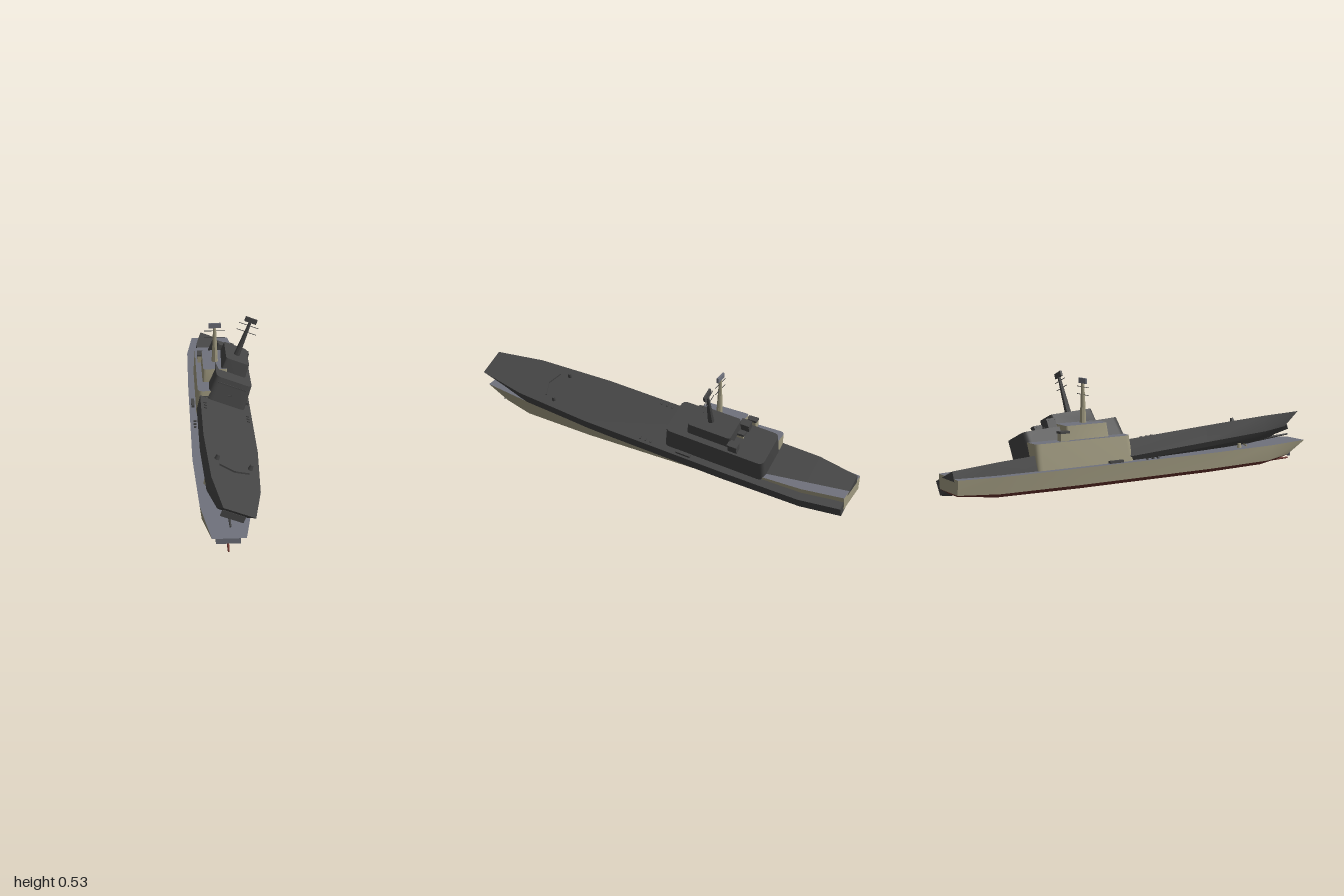
import * as THREE from 'three';
import { toCreasedNormals } from 'three/addons/utils/BufferGeometryUtils.js';

const mat = (name, color) => {
  const m = new THREE.MeshStandardMaterial({ color, side: THREE.DoubleSide });
  m.name = name;
  return m;
};

const DECK = 0.113;

// Hull stations, stern to bow: deck edge, waterline, bilge, keel edge as [halfWidth, y, z]
const stations = [
  [[0.1, DECK, -1], [0.092, 0.045, -1], [0.07, 0.035, -0.99], [0.03, 0.03, -0.98]],
  [[0.13, DECK, -0.8], [0.115, 0.034, -0.8], [0.09, 0.016, -0.8], [0.04, 0.006, -0.8]],
  [[0.135, DECK, -0.4], [0.122, 0.032, -0.4], [0.097, 0.012, -0.4], [0.04, 0.001, -0.4]],
  [[0.135, DECK, 0.35], [0.122, 0.032, 0.35], [0.097, 0.012, 0.35], [0.04, 0.001, 0.35]],
  [[0.115, DECK, 0.75], [0.106, 0.034, 0.73], [0.08, 0.014, 0.7], [0.035, 0.003, 0.68]],
  [[0.073, DECK, 1], [0.07, 0.047, 0.89], [0.05, 0.03, 0.86], [0.025, 0.013, 0.82]],
];
const rings = stations.map((s) => [
  ...s,
  ...s.slice().reverse().map(([x, y, z]) => [-x, y, z]),
]);

// Geometry from a list of quads
function quads(list) {
  const pos = [];
  for (const [a, b, c, d] of list) pos.push(...a, ...b, ...c, ...a, ...c, ...d);
  const g = new THREE.BufferGeometry();
  g.setAttribute('position', new THREE.Float32BufferAttribute(pos, 3));
  g.computeVertexNormals();
  return toCreasedNormals(g, 0.4);
}

// Lengthwise strips between neighbouring hull lines
function strips(indices) {
  const out = [];
  for (const j of indices) {
    const k = (j + 1) % 8;
    for (let s = 0; s < rings.length - 1; s++) {
      out.push([rings[s][j], rings[s + 1][j], rings[s + 1][k], rings[s][k]]);
    }
  }
  return out;
}

// Bow and stern faces between level i and the level below it
function ends(i) {
  const bow = rings[rings.length - 1], stern = rings[0];
  return [
    [bow[i], bow[7 - i], bow[6 - i], bow[i + 1]],
    [stern[7 - i], stern[i], stern[i + 1], stern[6 - i]],
  ];
}

// Deckhouse block with rounded corners, walls leaning inward towards the roof
function blockGeometry(hw, z0, z1, height, r, lean) {
  const zc = (z0 + z1) / 2, hl = (z1 - z0) / 2;
  const s = new THREE.Shape();
  s.moveTo(-hw + r, -hl);
  s.lineTo(hw - r, -hl);
  s.quadraticCurveTo(hw, -hl, hw, -hl + r);
  s.lineTo(hw, hl - r);
  s.quadraticCurveTo(hw, hl, hw - r, hl);
  s.lineTo(-hw + r, hl);
  s.quadraticCurveTo(-hw, hl, -hw, hl - r);
  s.lineTo(-hw, -hl + r);
  s.quadraticCurveTo(-hw, -hl, -hw + r, -hl);
  const g = new THREE.ExtrudeGeometry(s, { depth: height, bevelEnabled: false, curveSegments: 5 });
  g.rotateX(-Math.PI / 2);
  const p = g.attributes.position;
  for (let i = 0; i < p.count; i++) {
    const t = p.getY(i) / height, z = p.getZ(i);
    p.setX(i, p.getX(i) * (1 - (lean * t) / hw));
    p.setZ(i, zc + z - (z > 0 ? 2.5 : 0.6) * lean * t);
  }
  g.computeVertexNormals();
  return toCreasedNormals(g, 0.6);
}

function makeShip(c) {
  const ship = new THREE.Group();
  const add = (name, geo, material, x = 0, y = 0, z = 0) => {
    const m = new THREE.Mesh(geo, material);
    m.name = name;
    m.position.set(x, y, z);
    ship.add(m);
    return m;
  };
  const box = (name, w, h, d, material, x, y, z) =>
    add(name, new THREE.BoxGeometry(w, h, d), material, x, y, z);

  // Hull
  add('hullSides', quads([...strips([0, 6]), ...ends(0)]), c.hull);
  add('hullBottom', quads([...strips([1, 2, 3, 4, 5]), ...ends(1), ...ends(2)]), c.bottom);
  add('deck', quads(strips([7])), c.deck);
  const dome = add('bowDome', new THREE.CylinderGeometry(0.004, 0.009, 0.2, 10), c.bottom, 0, 0.014, 0.85);
  dome.rotation.x = Math.PI / 2;
  box('bowPanel', 0.107, 0.03, 0.003, c.deck, 0, 0.048, 0.92);

  // Deckhouse, each level with a roof in the deck colour
  const level = (name, hw, z0, z1, y, h, r, lean) =>
    add(name, blockGeometry(hw, z0, z1, h, r, lean), [c.deck, c.hull], 0, y, 0);
  level('deckhouse', 0.102, -0.61, -0.085, DECK, 0.122, 0.03, 0.008);
  level('bridge', 0.066, -0.435, -0.205, 0.235, 0.066, 0.015, 0.004);
  box('bridgeWindows', 0.15, 0.005, 0.006, c.dark, 0, 0.208, -0.1);

  // Mast with yards and radar
  const mast = add('mast', new THREE.CylinderGeometry(0.0075, 0.016, 0.185, 8), c.hull, 0, 0.392, -0.31);
  mast.geometry = toCreasedNormals(mast.geometry, 0.5);
  for (const y of [0.432, 0.468]) box('yard', 0.105, 0.0025, 0.0025, c.dark, 0, y, -0.31);
  box('radar', 0.062, 0.025, 0.01, c.deck, 0, 0.497, -0.31);

  for (const side of [-1, 1]) {
    // Roof mounts
    box('roofMount', 0.034, 0.036, 0.045, c.hull, side * 0.067, 0.253, -0.455);
    box('roofMountCap', 0.036, 0.01, 0.05, c.dark, side * 0.067, 0.275, -0.455);
    // Foredeck posts
    add('deckPost', new THREE.CylinderGeometry(0.008, 0.012, 0.024, 10), c.hull, side * 0.08, 0.124, 0.56);
    // Breakwater half
    const wall = box('breakwater', 0.075, 0.008, 0.004, c.hull, side * 0.036, 0.117, 0.627);
    wall.rotation.y = side * 0.36;
    // Boats beside the deckhouse and small lockers
    box('boat', 0.016, 0.012, 0.075, c.dark, side * 0.117, 0.121, -0.2);
    for (const z of [-0.02, 0.01, 0.04]) {
      box('locker', 0.014, 0.006, 0.008, c.dark, side * 0.112, 0.116, z);
    }
  }
  return ship;
}

export function createModel() {
  const model = new THREE.Group();
  const dark = mat('darkGrey', 0x454545);
  const paint = {
    hull: mat('beige', 0xa09a80),
    deck: mat('deckGrey', 0x70727c),
    bottom: mat('bottomRed', 0x6e352e),
    dark,
  };

  // Painted ship, upright
  const painted = makeShip(paint);
  painted.name = 'paintedShip';
  painted.position.set(-0.045, 0, 0);
  model.add(painted);

  // Plain dark ship, heeled over with its bow raised
  const heeled = makeShip({ hull: dark, deck: dark, bottom: dark, dark });
  heeled.name = 'darkShip';
  heeled.rotation.set(-0.062, 0, -0.375);
  heeled.position.set(-0.043, 0.067, 0.004);
  model.add(heeled);
  return model;
}
